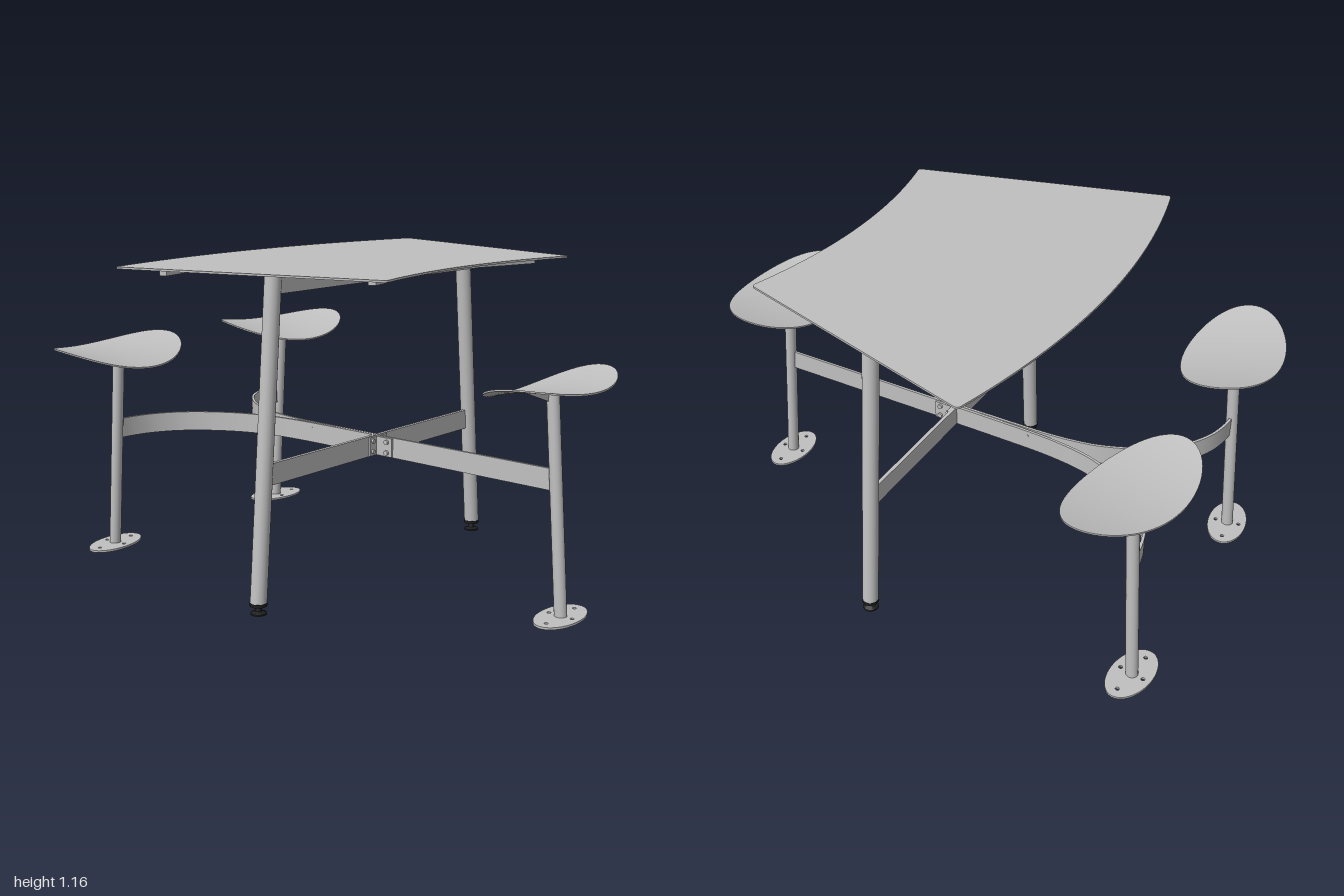
import * as THREE from 'three';
import { toCreasedNormals } from 'three/addons/utils/BufferGeometryUtils.js';

const V2 = (x, y) => new THREE.Vector2(x, y);
const V3 = (x, y, z) => new THREE.Vector3(x, y, z);

export function createModel() {
  const steel = new THREE.MeshStandardMaterial({ color: 0xc0c0c0 });
  steel.name = 'light grey steel';
  const rubber = new THREE.MeshStandardMaterial({ color: 0x1c1c1c });
  rubber.name = 'black rubber';

  const model = new THREE.Group();
  model.name = 'picnicTable';

  const add = (parent, name, geometry, material = steel) => {
    const mesh = new THREE.Mesh(geometry, material);
    mesh.name = name;
    parent.add(mesh);
    return mesh;
  };
  const box = (parent, name, w, h, d, x, y, z) =>
    add(parent, name, new THREE.BoxGeometry(w, h, d)).position.set(x, y, z);

  // Round tube between two points
  const tube = (parent, name, a, b, r) => {
    const mesh = add(parent, name, new THREE.CylinderGeometry(r, r, a.distanceTo(b), 32));
    mesh.position.copy(a).lerp(b, 0.5);
    mesh.quaternion.setFromUnitVectors(V3(0, 1, 0), b.clone().sub(a).normalize());
  };

  // Plan shape (x, -z) raised from y0 by h
  const plate = (parent, name, shape, y0, h, curveSegments = 32) => {
    const g = new THREE.ExtrudeGeometry(shape, { depth: h, bevelEnabled: false, curveSegments });
    g.rotateX(-Math.PI / 2).translate(0, y0, 0);
    return add(parent, name, toCreasedNormals(g, 0.5));
  };

  // Upright flat bar following a plan polyline of [x, z] points
  const ribbon = (parent, name, pts, thick, y0, h) => {
    const p = pts.map(([x, z]) => V2(x, -z));
    const side = (s) => p.map((q, i) => {
      const d = p[Math.min(i + 1, p.length - 1)].clone().sub(p[Math.max(i - 1, 0)]).normalize();
      return V2(q.x - d.y * s * thick / 2, q.y + d.x * s * thick / 2);
    });
    plate(parent, name, new THREE.Shape([...side(-1), ...side(1).reverse()]), y0, h);
  };

  // Table top: two straight slanted ends, two concentric-looking curved sides
  const top = new THREE.Shape();
  top.moveTo(-0.385, -0.79);
  top.lineTo(0.54, -0.53);
  top.quadraticCurveTo(0.553, -0.526, 0.548, -0.51);
  top.quadraticCurveTo(0.412, 0, 0.548, 0.51);
  top.quadraticCurveTo(0.553, 0.526, 0.54, 0.53);
  top.lineTo(-0.385, 0.79);
  top.quadraticCurveTo(-0.398, 0.793, -0.403, 0.778);
  top.quadraticCurveTo(-0.607, 0, -0.403, -0.778);
  top.quadraticCurveTo(-0.398, -0.793, -0.385, -0.79);
  plate(model, 'tableTop', top, 1.153, 0.007);

  // Frame beneath the top: two bent rails and two cross rails
  const frame = new THREE.Group();
  frame.name = 'topFrame';
  model.add(frame);
  ribbon(frame, 'wideRail', [[-0.265, -0.7], [-0.35, -0.34], [-0.35, 0.34], [-0.265, 0.7]], 0.028, 1.131, 0.022);
  ribbon(frame, 'narrowRail', [[0.44, -0.46], [0.37, -0.2], [0.37, 0.2], [0.44, 0.46]], 0.028, 1.131, 0.022);
  for (const s of [-1, 1]) {
    box(frame, 'crossRail', 0.75, 0.02, 0.025, 0.02, 1.143, s * 0.34);
    for (const x of [-0.32, 0.36])
      box(frame, 'railBolt', 0.03, 0.012, 0.04, x, 1.13, s * 0.34);
  }

  // Legs with black levelling feet
  const legX = 0.077;
  const footProfile = [[0, 0], [0.028, 0], [0.028, 0.005], [0.012, 0.012], [0.009, 0.03],
    [0.03, 0.03], [0.03, 0.042], [0, 0.042]].map(([x, y]) => V2(x, y));
  for (const s of [-1, 1]) {
    tube(model, 'leg', V3(legX, 0.038, s * 0.622), V3(legX, 1.152, s * 0.527), 0.029);
    const foot = add(model, 'foot', toCreasedNormals(new THREE.LatheGeometry(footProfile, 24), 0.5), rubber);
    foot.position.set(legX, 0, s * 0.622);
  }

  // Beams between the legs, and the straight arm to the single seat
  box(model, 'upperBeam', 0.014, 0.055, 1.06, legX, 1.108, 0);
  box(model, 'lowerBeam', 0.014, 0.075, 1.16, legX, 0.477, 0);
  box(model, 'straightArm', 0.77, 0.075, 0.01, legX + 0.385, 0.477, 0);

  // Curved arms sweeping apart to the paired seats
  for (const s of [-1, 1]) {
    const path = [[legX, 0.006], [-0.1, 0.007], [-0.3, 0.011], [-0.42, 0.024], [-0.5, 0.042],
      [-0.6, 0.083], [-0.7, 0.147], [-0.77, 0.215], [-0.82, 0.3], [-0.842, 0.38], [-0.848, 0.45]];
    const curve = new THREE.CatmullRomCurve3(path.map(([x, z]) => V3(x, 0, s * z)));
    ribbon(model, 'curvedArm', curve.getPoints(48).map((p) => [p.x, p.z]), 0.01, 0.44, 0.075);
  }

  // Bolted bracket where the beams cross
  const hub = new THREE.Group();
  hub.name = 'hubBracket';
  model.add(hub);
  for (const s of [-1, 1]) {
    box(hub, 'bracketFlange', 0.008, 0.07, 0.04, legX + 0.011, 0.477, s * 0.027);
    box(hub, 'bracketCheek', 0.08, 0.07, 0.008, legX + 0.045, 0.477, s * 0.009);
    for (const y of [0.457, 0.497]) {
      tube(hub, 'bracketBolt', V3(0.14, y, s * 0.01), V3(0.14, y, s * 0.021), 0.009);
      tube(hub, 'bracketBolt', V3(legX + 0.01, y, s * 0.034), V3(legX + 0.023, y, s * 0.034), 0.008);
    }
    tube(hub, 'armBolt', V3(-0.23, 0.495, s * 0.008), V3(-0.23, 0.495, s * 0.015), 0.006);
  }

  // Saddle height of the seat; u runs outward, z along its length
  const saddle = (u, z) => 0.782 + 0.14 * u - 0.45 * u * u + 0.45 * z * z;

  const seatGeometry = () => {
    const n = 12, profile = [];
    for (let i = 0; i <= n; i++) profile.push(V2(i / n, 0));
    for (let i = n; i >= 0; i--) profile.push(V2(i / n, 0.006));
    const g = new THREE.LatheGeometry(profile, 64);
    const p = g.attributes.position;
    for (let i = 0; i < p.count; i++) {
      const u = p.getX(i) * 0.18, z = p.getZ(i) * 0.294;
      p.setXYZ(i, u, p.getY(i) + saddle(u, z) - 0.003, z);
    }
    return toCreasedNormals(g, 0.6);
  };

  // Seat on a leaning post with an oval floor plate
  const seatUnit = (x, z, turn) => {
    const unit = new THREE.Group();
    unit.name = 'seatUnit';
    unit.position.set(x, 0, z);
    unit.rotation.y = turn;
    model.add(unit);
    add(unit, 'seat', seatGeometry());
    tube(unit, 'seatPost', V3(0.065, 0.006, 0), V3(0.006, 0.775, 0), 0.022);

    // Curved gusset under the seat
    const gusset = new THREE.Shape();
    gusset.moveTo(-0.16, saddle(0, 0.16) - 0.002);
    gusset.lineTo(-0.02, 0.742);
    gusset.lineTo(0.02, 0.742);
    gusset.lineTo(0.16, saddle(0, 0.16) - 0.002);
    gusset.quadraticCurveTo(0, 2 * 0.78 - saddle(0, 0.16), -0.16, saddle(0, 0.16) - 0.002);
    const g = new THREE.ExtrudeGeometry(gusset, { depth: 0.008, bevelEnabled: false });
    add(unit, 'seatGusset', g.translate(0, 0, -0.004).rotateY(Math.PI / 2));

    // Floor plate with bolt holes
    const oval = new THREE.Shape().absellipse(0, 0, 0.073, 0.127, 0, Math.PI * 2, false, 0);
    for (const [hx, hy] of [[0, 0.09], [0, -0.09], [0.045, 0], [-0.045, 0]])
      oval.holes.push(new THREE.Path().absarc(hx, hy, 0.007, 0, Math.PI * 2, true));
    plate(unit, 'floorPlate', oval, 0.004, 0.008).position.x = 0.064;
  };
  seatUnit(0.82, 0, 0);
  seatUnit(-0.82, 0.448, Math.PI + 0.15);
  seatUnit(-0.82, -0.448, Math.PI - 0.15);

  model.position.z = -0.003;
  const root = new THREE.Group();
  root.name = 'tableWithSeats';
  root.add(model);
  return root;
}
